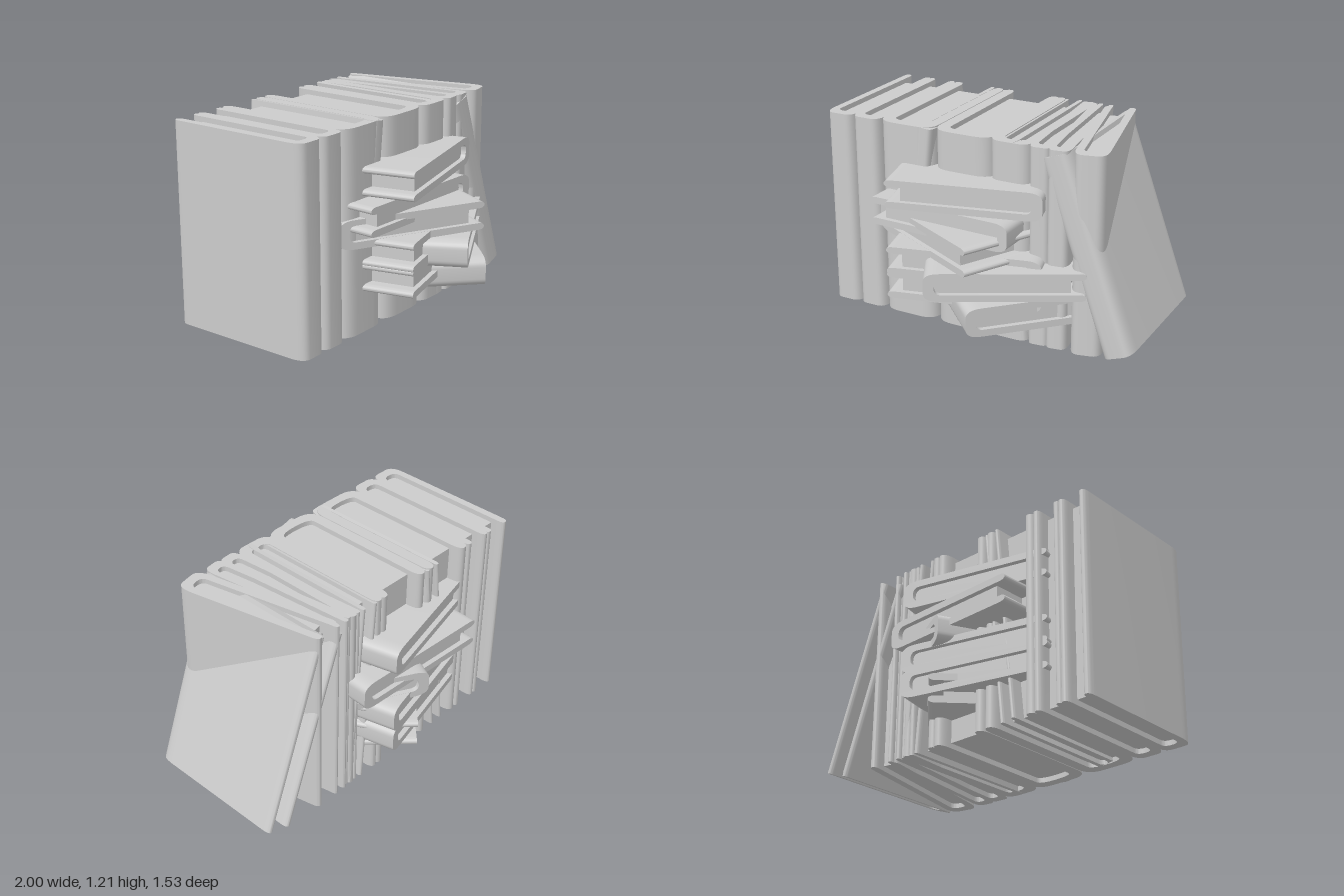
import * as THREE from 'three';
import { toCreasedNormals } from 'three/addons/utils/BufferGeometryUtils.js';

const rad = THREE.MathUtils.degToRad;
const material = new THREE.MeshStandardMaterial({ color: 0xcccccc });
const DEPTH = 0.91, HEIGHT = 1.205;

// U-shaped section of a hardback cover: x is thickness, -y is the spine
function coverShape(t) {
  const h = t / 2, b = Math.min(t * 0.24, 0.07), i = h - b;
  const f = DEPTH / 2, s = -f + Math.min(0.1, t * 0.55), n = -f + 0.06;
  const shape = new THREE.Shape();
  shape.moveTo(-h, f - b);
  shape.lineTo(-h, s);
  shape.quadraticCurveTo(-h, -f, -h * 0.4, -f);
  shape.lineTo(h * 0.4, -f);
  shape.quadraticCurveTo(h, -f, h, s);
  shape.lineTo(h, f - b);
  shape.quadraticCurveTo(h, f, h - b / 2, f);
  shape.quadraticCurveTo(i, f, i, f - b);
  shape.lineTo(i, n + 0.04);
  shape.quadraticCurveTo(i, n, 0, n);
  shape.quadraticCurveTo(-i, n, -i, n + 0.04);
  shape.lineTo(-i, f - b);
  shape.quadraticCurveTo(-i, f, -h + b / 2, f);
  shape.quadraticCurveTo(-h, f, -h, f - b);
  return { shape, inner: i };
}

// Upright book centred on its origin, spine facing +z
function makeBook(name, t) {
  const { shape, inner } = coverShape(t);
  let cover = new THREE.ExtrudeGeometry(shape, { depth: HEIGHT, bevelEnabled: false, curveSegments: 8 });
  cover.translate(0, 0, -HEIGHT / 2).rotateX(-Math.PI / 2);
  cover = toCreasedNormals(cover, 0.6);
  const pages = new THREE.BoxGeometry(inner * 2, HEIGHT - 0.06, DEPTH - 0.14);
  pages.translate(0, 0, 0.015);
  const book = new THREE.Group();
  book.name = name;
  for (const [part, geo] of [['cover', cover], ['pages', pages]]) {
    const mesh = new THREE.Mesh(geo, material);
    mesh.name = part;
    book.add(mesh);
  }
  return book;
}

export function createModel() {
  const model = new THREE.Group();
  model.name = 'bookPile';

  // Standing row: centre x, thickness, lean and turn in degrees
  const standing = [
    [-0.905, 0.19, 0, 0],
    [-0.725, 0.19, 0, 0],
    [-0.455, 0.36, 0, 0],
    [-0.385, 0.1, -6, 0],
    [-0.08, 0.38, 0, 0],
    [0.22, 0.26, 0, 0],
    [0.24, 0.12, 4, 0],
    [0.37, 0.13, 0, 5],
    [0.46, 0.13, 0, 8],
    [0.61, 0.19, 0, 12.5],
    [0.7, 0.19, 20, 0],
  ];
  standing.forEach(([x, t, lean, turn], k) => {
    const book = makeBook('standingBook' + (k + 1), t);
    book.position.set(x, 0.617, -0.125);
    book.rotation.set(0, rad(turn), rad(lean));
    model.add(book);
  });

  // Flat stack pushed through the row: centre x, y, z, thickness, turn (spine at +x when 0)
  const flat = [
    [-0.115, 0.902, -0.07, 0.17, 14],
    [-0.125, 0.722, -0.105, 0.17, -2],
    [0.025, 0.625, -0.025, 0.17, 153],
    [-0.115, 0.495, -0.07, 0.17, 14],
    [0.035, 0.45, 0.02, 0.17, 208],
    [-0.115, 0.345, -0.07, 0.17, 14],
    [0.065, 0.268, -0.015, 0.175, 225],
  ];
  const lay = new THREE.Matrix4().makeBasis(
    new THREE.Vector3(0, 1, 0), new THREE.Vector3(0, 0, 1), new THREE.Vector3(1, 0, 0));
  flat.forEach(([x, y, z, t, turn], k) => {
    const book = makeBook('flatBook' + (k + 1), t);
    book.children.forEach((mesh) => mesh.geometry.applyMatrix4(lay));
    book.position.set(x, y, z);
    book.rotation.y = rad(turn);
    model.add(book);
  });
  return model;
}
